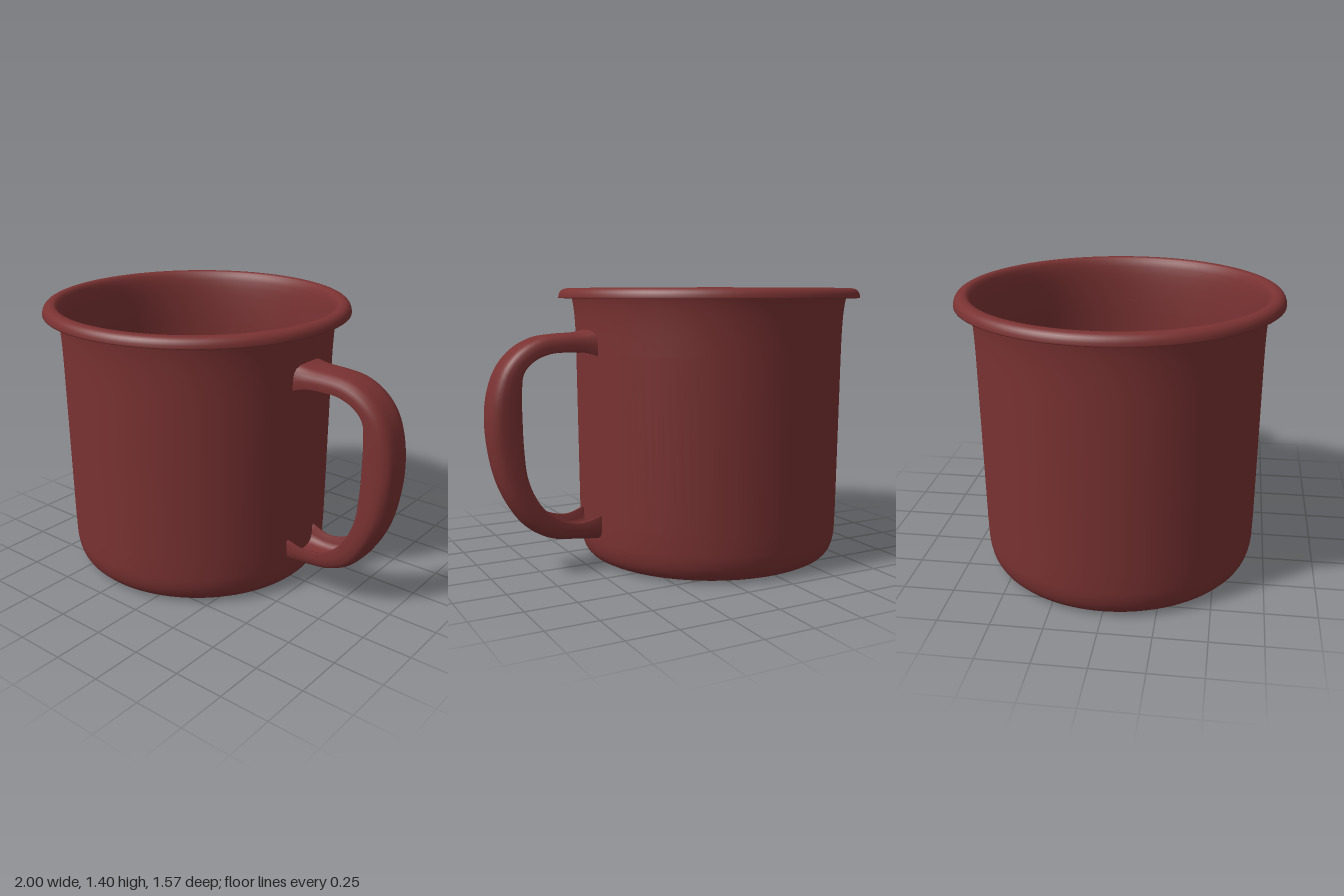
import * as THREE from 'three';

const enamel = new THREE.MeshStandardMaterial({ color: 0x7a3232, side: THREE.DoubleSide });
enamel.name = 'red enamel';
const grey = new THREE.MeshStandardMaterial({ color: 0x8f8f8f });
grey.name = 'grey stamp';

const CUP_X = -0.214;

// Closed wall profile: underside, outer wall, rolled lip, inner wall, floor
function cupProfile() {
  const p = new THREE.Path();
  p.moveTo(0, 0.005);
  p.lineTo(0.57, 0.005);
  p.lineTo(0.6, 0.005);
  p.bezierCurveTo(0.655, 0.005, 0.68, 0.06, 0.685, 0.14);
  p.lineTo(0.688, 0.25);
  p.lineTo(0.697, 1.08);
  p.bezierCurveTo(0.699, 1.25, 0.707, 1.31, 0.716, 1.35);
  p.quadraticCurveTo(0.725, 1.385, 0.75, 1.38);
  p.quadraticCurveTo(0.772, 1.375, 0.774, 1.35);
  p.lineTo(0.786, 1.35);
  p.lineTo(0.786, 1.355);
  p.bezierCurveTo(0.784, 1.385, 0.765, 1.4, 0.742, 1.4);
  p.lineTo(0.73, 1.4);
  p.bezierCurveTo(0.7, 1.395, 0.684, 1.33, 0.678, 1.1);
  p.lineTo(0.668, 0.2);
  p.bezierCurveTo(0.662, 0.08, 0.64, 0.035, 0.585, 0.03);
  p.lineTo(0.55, 0.03);
  p.lineTo(0, 0.03);
  return p.getPoints(7);
}

const curve = pts => new THREE.CatmullRomCurve3(pts.map(([x, y, w]) => new THREE.Vector3(x, y, w)));

// Channel-shaped strap: a rounded back with two side flanges facing the cup
function handleGeometry() {
  // Matching stations along the back and the flange edges: x, y, half width
  const back = curve([
    [0.463, 1.2, 0.122], [0.54, 1.185, 0.112], [0.64, 1.18, 0.107], [0.75, 1.165, 0.106], [0.85, 1.115, 0.106],
    [0.93, 1.03, 0.105], [0.98, 0.91, 0.104], [0.997, 0.77, 0.102], [0.985, 0.62, 0.103], [0.95, 0.47, 0.106],
    [0.89, 0.34, 0.109], [0.81, 0.235, 0.11], [0.7, 0.177, 0.111], [0.57, 0.16, 0.113], [0.463, 0.148, 0.122]]);
  const edge = curve([
    [0.463, 1.07, 0], [0.53, 1.09, 0], [0.62, 1.094, 0], [0.71, 1.088, 0], [0.79, 1.055, 0],
    [0.84, 1.0, 0], [0.852, 0.9, 0], [0.852, 0.77, 0], [0.848, 0.64, 0], [0.835, 0.51, 0],
    [0.8, 0.41, 0], [0.74, 0.325, 0], [0.66, 0.272, 0], [0.56, 0.252, 0], [0.463, 0.28, 0]]);
  // Section: depth from back (0) to edge (1), and fraction of half width
  const half = [[0, 0.3], [0.03, 0.6], [0.13, 0.83], [0.32, 0.96], [0.6, 1], [0.97, 1], [1, 0.95],
    [0.97, 0.87], [0.6, 0.84], [0.4, 0.76], [0.28, 0.55], [0.25, 0.25]];
  const section = [...half, ...half.map(([t, z]) => [t, -z]).reverse()];
  const n = section.length, steps = 56, pos = [], index = [];
  for (let i = 0; i <= steps; i++) {
    const a = back.getPoint(i / steps), b = edge.getPoint(i / steps);
    for (const [t, z] of section)
      pos.push(a.x + (b.x - a.x) * t, a.y + (b.y - a.y) * t, a.z * z);
  }
  for (let i = 0; i < steps; i++)
    for (let j = 0; j < n; j++) {
      const a = i * n + j, b = i * n + (j + 1) % n;
      index.push(a, a + n, b, b, a + n, b + n);
    }
  const g = new THREE.BufferGeometry();
  g.setAttribute('position', new THREE.Float32BufferAttribute(pos, 3));
  g.setIndex(index);
  g.computeVertexNormals();
  // Make sure the surface faces outward
  if (g.attributes.normal.getY(0) < 0) {
    g.setIndex(index.reverse());
    g.computeVertexNormals();
  }
  return g;
}

export function createModel() {
  const group = new THREE.Group();
  group.name = 'mug';
  const add = (name, geometry, material) => {
    const m = new THREE.Mesh(geometry, material);
    m.name = name;
    group.add(m);
    return m;
  };

  add('cup', new THREE.LatheGeometry(cupProfile(), 96), enamel).position.x = CUP_X;
  add('handle', handleGeometry(), enamel);

  // Plain oval mark under the base
  const stamp = add('baseMark', new THREE.CylinderGeometry(0.165, 0.165, 0.005, 40), grey);
  stamp.position.set(CUP_X, 0.0025, 0);
  stamp.scale.z = 0.8;
  return group;
}
